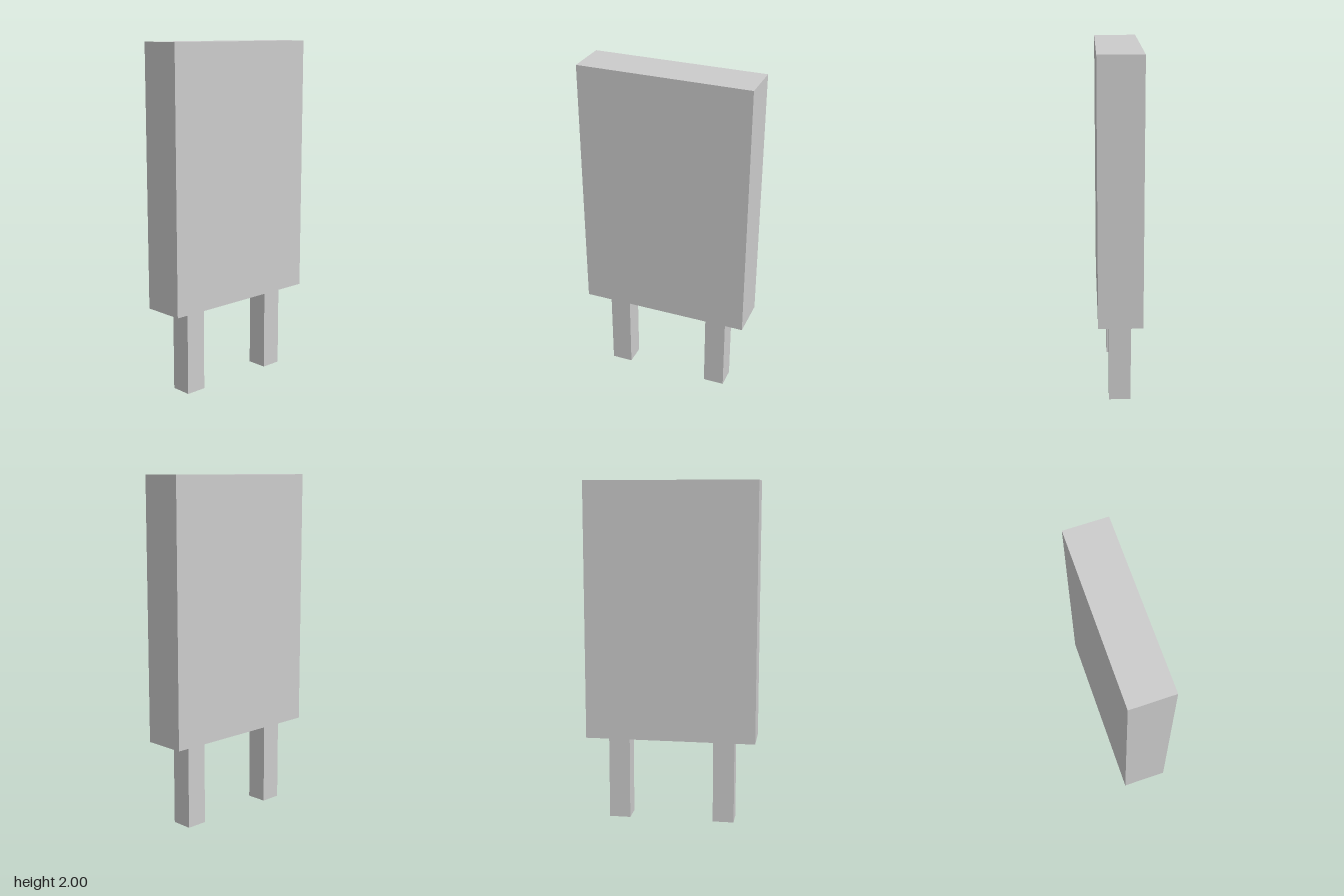
import * as THREE from 'three';

export function createModel() {
  const group = new THREE.Group();
  const material = new THREE.MeshStandardMaterial({ color: 0xcccccc, flatShading: true });

  // Adds a box whose underside sits at the given height
  const addBox = (name, width, height, depth, x, bottom) => {
    const mesh = new THREE.Mesh(new THREE.BoxGeometry(width, height, depth), material);
    mesh.name = name;
    mesh.position.set(x, bottom + height / 2, 0);
    group.add(mesh);
  };

  // Upright slab
  addBox('panel', 1, 1.5, 0.25, 0, 0.5);

  // Two square posts carrying the slab
  for (const side of [-1, 1]) {
    addBox(side > 0 ? 'leftLeg' : 'rightLeg', 0.125, 0.5, 0.125, side * 0.3125, 0);
  }

  return group;
}
